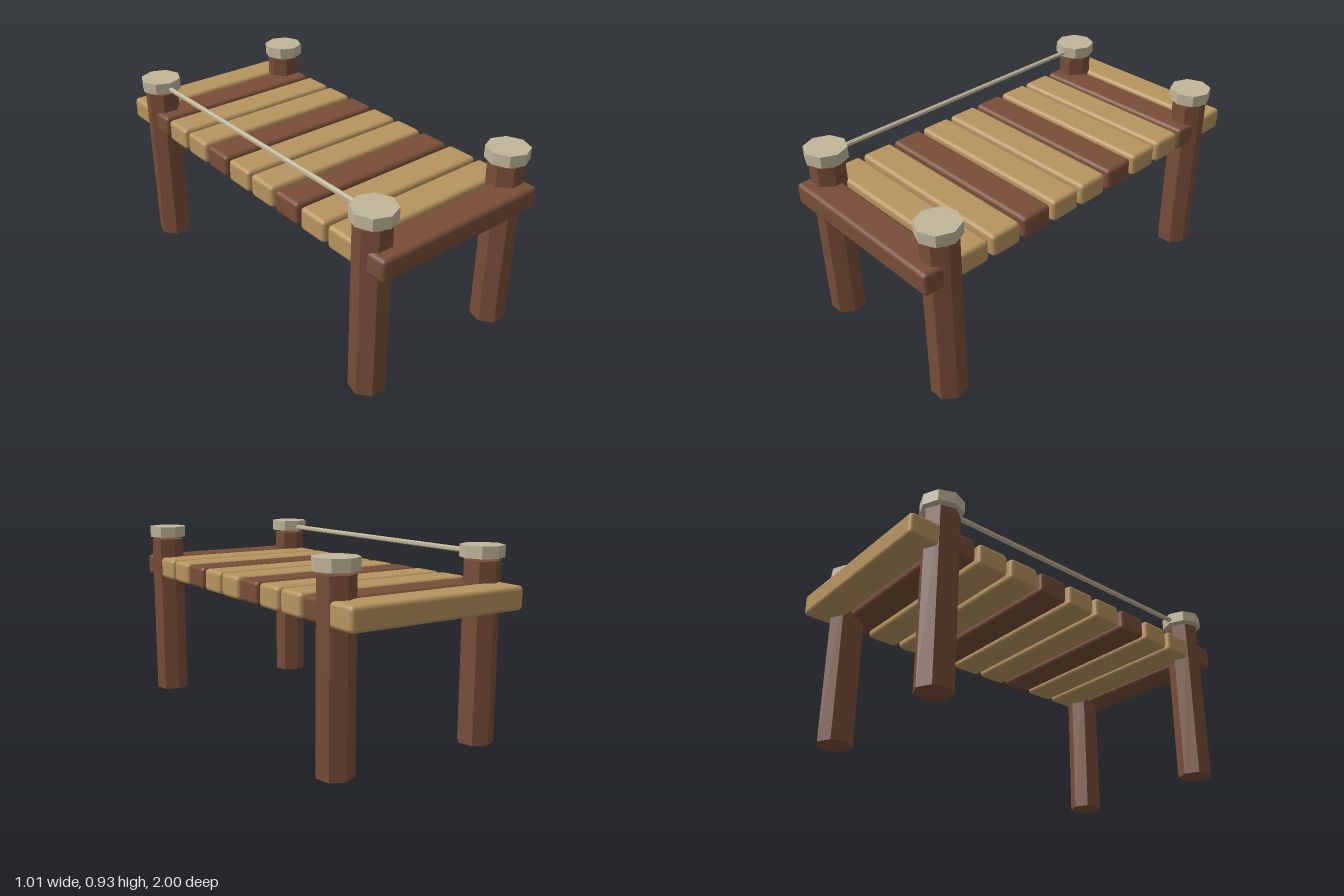
import * as THREE from 'three';
import { RoundedBoxGeometry } from 'three/addons/geometries/RoundedBoxGeometry.js';

function makeMaterial(name, color) {
  const material = new THREE.MeshStandardMaterial({ color });
  material.name = name;
  return material;
}

// Cylinder with hard facets
function faceted(radius, height, sides) {
  const g = new THREE.CylinderGeometry(radius, radius, height, sides).toNonIndexed();
  g.computeVertexNormals();
  return g;
}

export function createModel() {
  const darkWood = makeMaterial('dark wood', 0x784d38);
  const lightWood = makeMaterial('light wood', 0xb8945f);
  const paleRope = makeMaterial('pale rope', 0xbfb599);

  const model = new THREE.Group();
  model.name = 'dock';

  function add(name, geometry, material, x, y, z) {
    const mesh = new THREE.Mesh(geometry, material);
    mesh.name = name;
    mesh.position.set(x, y, z);
    model.add(mesh);
    return mesh;
  }

  // Deck planks, every third one dark
  const count = 11, plankWidth = 0.163;
  const pitch = (2 - plankWidth) / (count - 1);
  const plank = new RoundedBoxGeometry(0.938, 0.112, plankWidth, 2, 0.02);
  for (let i = 0; i < count; i++) {
    const z = -1 + plankWidth / 2 + i * pitch;
    add('plank', plank, i % 3 === 1 ? darkWood : lightWood, 0, 0.706, z);
  }

  // Seven-sided posts, each with an eight-sided cap floating just above
  const backZ = -0.8, frontZ = 0.862, postX = 0.402;
  const post = faceted(0.0867, 0.86, 7).rotateY(Math.PI);
  const cap = faceted(0.1025, 0.057, 8);
  for (const x of [-postX, postX]) {
    for (const z of [backZ, frontZ]) {
      add('post', post, darkWood, x, 0.43, z);
      add('postCap', cap, paleRope, x, 0.9015, z);
    }
  }

  // Rope rail along the right side
  const rope = faceted(0.013, frontZ - backZ, 6).rotateX(Math.PI / 2);
  add('ropeRail', rope, paleRope, -postX, 0.893, (frontZ + backZ) / 2);

  return model;
}
